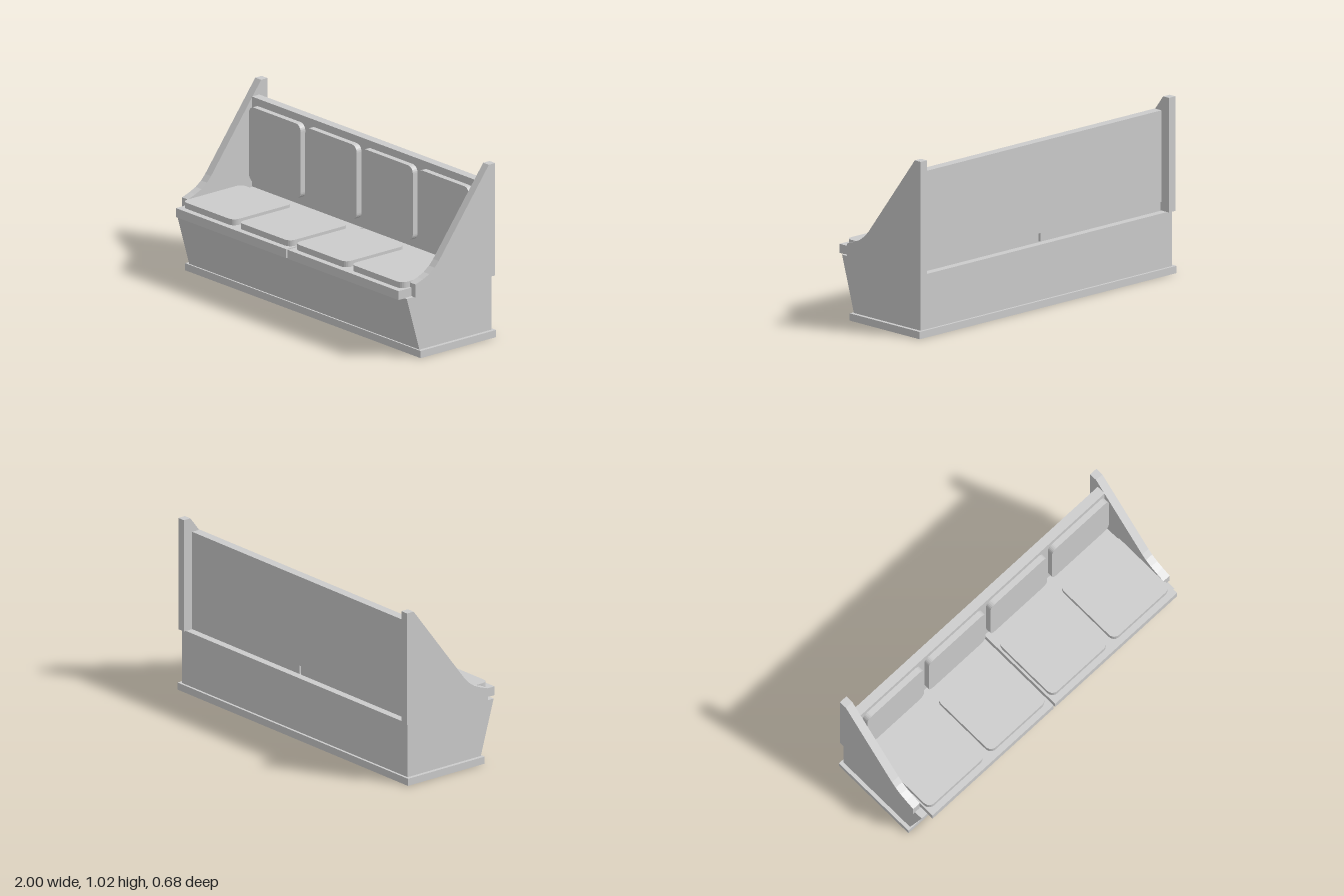
import * as THREE from 'three';

const material = new THREE.MeshStandardMaterial({ color: 0xcccccc, flatShading: true });

export function createModel() {
  const bench = new THREE.Group();
  bench.name = 'bench';

  function add(name, geometry) {
    const mesh = new THREE.Mesh(geometry, material);
    mesh.name = name;
    bench.add(mesh);
    return mesh;
  }

  // Box given by its lower and upper limits on each axis
  function addBox(name, [x0, x1], [y0, y1], [z0, z1]) {
    const geometry = new THREE.BoxGeometry(x1 - x0, y1 - y0, z1 - z0);
    geometry.translate((x0 + x1) / 2, (y0 + y1) / 2, (z0 + z1) / 2);
    return add(name, geometry);
  }

  // Side profile of (z, y) points, extruded from x0 to x1
  function addProfile(name, points, x0, x1) {
    const shape = new THREE.Shape(points.map(([z, y]) => new THREE.Vector2(z, y)));
    const geometry = new THREE.ExtrudeGeometry(shape, { depth: x1 - x0, bevelEnabled: false });
    geometry.rotateY(-Math.PI / 2).translate(x1, 0, 0);
    return add(name, geometry);
  }

  // Square pad with rounded corners, its back on z = 0
  function padGeometry(size, thickness) {
    const h = size / 2, r = 0.04, s = new THREE.Shape();
    s.absarc(h - r, h - r, r, 0, Math.PI / 2);
    s.absarc(r - h, h - r, r, Math.PI / 2, Math.PI);
    s.absarc(r - h, r - h, r, Math.PI, Math.PI * 1.5);
    s.absarc(h - r, r - h, r, Math.PI * 1.5, Math.PI * 2);
    s.closePath();
    return new THREE.ExtrudeGeometry(s, { depth: thickness, bevelEnabled: false, curveSegments: 3 });
  }

  // Plinth and chest with a sloping front
  addBox('plinth', [-1, 1], [0, 0.042], [-0.34, 0.215]);
  addProfile('chest', [[-0.325, 0.042], [0.205, 0.042], [0.298, 0.36], [-0.325, 0.36]], -0.978, 0.978);

  // Two seat lids with a narrow gap between them
  addBox('rightSeatLid', [-0.935, 0.002], [0.358, 0.41], [-0.28, 0.34]);
  addBox('leftSeatLid', [0.014, 0.957], [0.358, 0.41], [-0.28, 0.34]);

  // Backrest board
  addBox('backrest', [-0.945, 0.945], [0.41, 0.937], [-0.28, -0.225]);

  // End panels with a curved lower front
  const panel = [
    [-0.34, 0.36], [0.245, 0.36], [0.245, 0.437], [0.19, 0.456], [0.145, 0.476],
    [0.105, 0.505], [0.075, 0.537], [-0.293, 1.02], [-0.34, 1.02],
  ];
  addProfile('leftEndPanel', panel, 0.944, 0.992);
  addProfile('rightEndPanel', panel, -0.992, -0.942);

  // Four seat cushions and four back cushions
  const pad = padGeometry(0.438, 0.035);
  for (let i = 0; i < 4; i++) {
    const x = -0.707 + i * 0.4767;
    const seat = add('seatCushion', pad);
    seat.rotation.x = -Math.PI / 2;
    seat.position.set(x, 0.41, 0.084);
    const back = add('backCushion', pad);
    back.position.set(x, 0.675, -0.225);
  }

  return bench;
}
